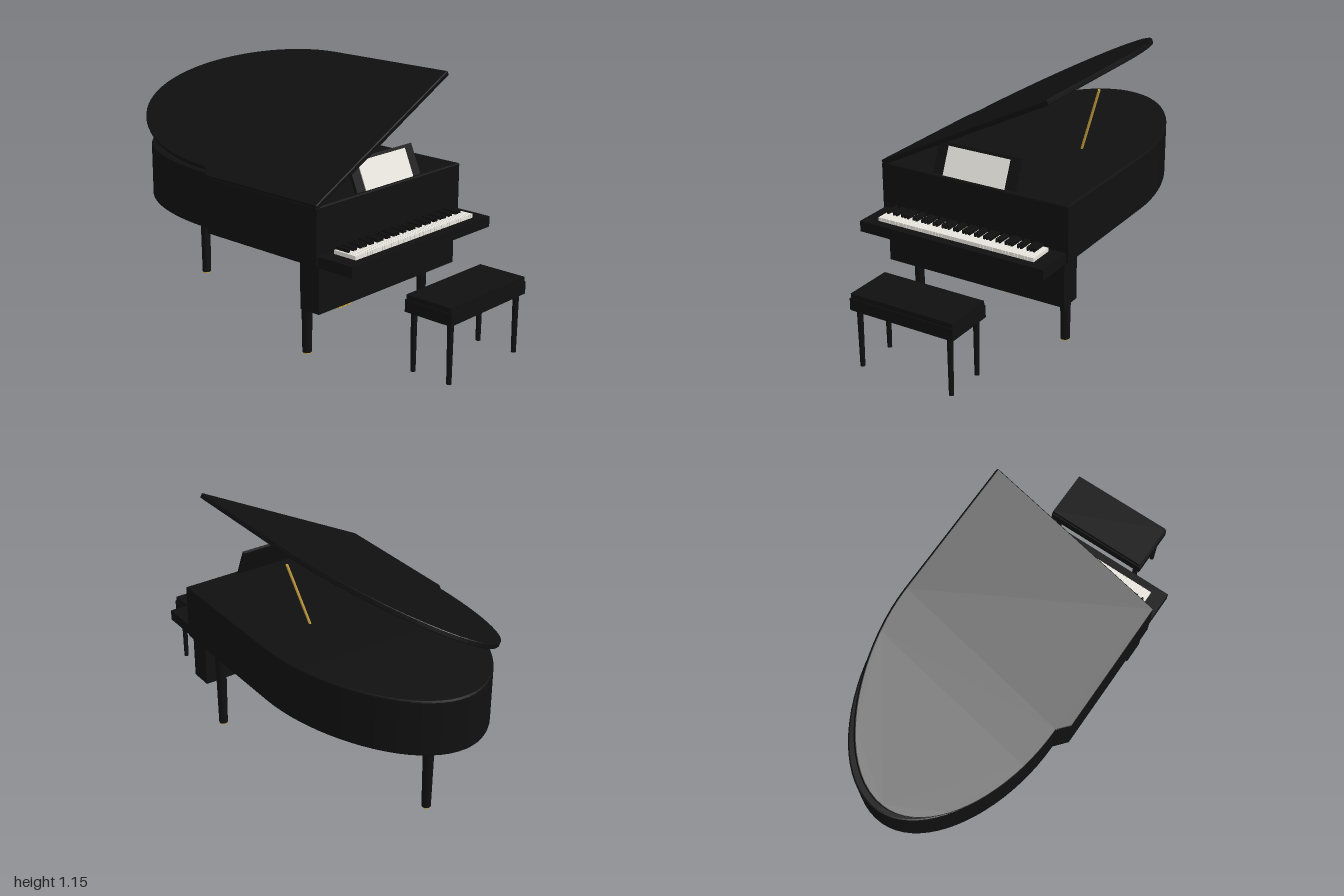
import * as THREE from 'three';

export function createModel() {
  const root = new THREE.Group();
  const material = (name, color) => {
    const m = new THREE.MeshStandardMaterial({ color });
    m.name = name;
    return m;
  };
  const black = material('black lacquer', 0x101010);
  const ivory = material('ivory', 0xf5f3eb);
  const brass = material('brass', 0xc9a23f);

  const add = (name, geometry, mat, x = 0, y = 0, z = 0, parent = root) => {
    const mesh = new THREE.Mesh(geometry, mat);
    mesh.name = name;
    mesh.position.set(x, y, z);
    parent.add(mesh);
    return mesh;
  };
  // box given by its limits on each axis
  const box = (name, mat, [x0, x1], [y0, y1], [z0, z1], parent = root) =>
    add(name, new THREE.BoxGeometry(x1 - x0, y1 - y0, z1 - z0), mat,
      (x0 + x1) / 2, (y0 + y1) / 2, (z0 + z1) / 2, parent);

  // shared plan of case and lid (shape y is -z)
  const plan = new THREE.Shape();
  plan.moveTo(-0.48, -0.46);
  plan.lineTo(0.48, -0.46);
  plan.lineTo(0.48, 0.22);
  plan.bezierCurveTo(0.48, 0.57, 0.27, 1, 0, 1);
  plan.bezierCurveTo(-0.24, 1, -0.43, 0.64, -0.43, 0.27);
  plan.lineTo(-0.48, 0.21);
  plan.closePath();
  const slab = (height, bevel) => new THREE.ExtrudeGeometry(plan, {
    depth: height - 2 * bevel, bevelEnabled: true, bevelThickness: bevel,
    bevelSize: bevel, bevelOffset: -bevel, bevelSegments: 2, curveSegments: 20,
  }).rotateX(-Math.PI / 2).translate(0, bevel, 0);

  add('case', slab(0.265, 0.007), black, 0, 0.445, 0);

  // raised lid, hinged along the left-hand edge of the plan
  const lid = add('lid', slab(0.024, 0.004).translate(0.48, 0, 0), black, -0.472, 0.697, 0);
  lid.rotation.z = 0.473;

  // lid prop
  const foot = new THREE.Vector3(0.2, 0.705, -0.15);
  const tip = new THREE.Vector3(0.3, 1.018, -0.123);
  const prop = add('lidProp', new THREE.CylinderGeometry(0.006, 0.006, foot.distanceTo(tip), 10), brass);
  prop.position.lerpVectors(foot, tip, 0.5);
  prop.quaternion.setFromUnitVectors(new THREE.Vector3(0, 1, 0), tip.clone().sub(foot).normalize());

  // music desk with sheet
  const desk = new THREE.Group();
  desk.name = 'musicDesk';
  desk.position.set(0, 0.705, 0.448);
  desk.rotation.x = -0.4;
  root.add(desk);
  box('deskBoard', black, [-0.212, 0.212], [0, 0.15], [-0.014, 0], desk);
  box('sheet', ivory, [-0.158, 0.158], [0.004, 0.136], [0, 0.004], desk);

  // keyboard
  box('keyBed', black, [-0.47, 0.47], [0.445, 0.495], [0.44, 0.648]);
  const keys = new THREE.Group();
  keys.name = 'keyboard';
  root.add(keys);
  const pitch = 0.8 / 52;
  for (let i = 0; i < 52; i++) {
    const x = -0.4 + i * pitch;
    box('whiteKey', ivory, [x + 0.0008, x + pitch - 0.0008], [0.495, 0.513], [0.485, 0.605], keys);
    // sharps follow A, C, D, F and G
    if ([0, 2, 3, 5, 6].includes(i % 7) && i < 51) {
      const c = x + pitch;
      box('blackKey', black, [c - 0.0045, c + 0.0045], [0.508, 0.529], [0.485, 0.555], keys);
    }
  }

  box('lowerPanel', black, [-0.46, 0.46], [0.23, 0.447], [0.346, 0.454]);

  // piano legs
  for (const [x, z] of [[-0.393, 0.322], [0.393, 0.322], [0, -0.758]]) {
    const leg = new THREE.Group();
    leg.name = 'leg';
    leg.position.set(x, 0, z);
    root.add(leg);
    add('upperLeg', new THREE.CylinderGeometry(0.028, 0.026, 0.165, 16), black, 0, 0.3675, 0, leg);
    add('lowerLeg', new THREE.CylinderGeometry(0.025, 0.021, 0.285, 16), black, 0, 0.1475, 0, leg);
    add('ferrule', new THREE.CylinderGeometry(0.019, 0.019, 0.006, 16), brass, 0, 0.003, 0, leg);
  }

  // pedal lyre
  box('lyre', black, [-0.058, 0.058], [0.153, 0.447], [0.115, 0.137]);
  for (const x of [-0.032, 0, 0.032]) {
    box('pedal', brass, [x - 0.01, x + 0.01], [0.067, 0.076], [0.113, 0.19]);
  }

  // bench
  const bench = new THREE.Group();
  bench.name = 'bench';
  root.add(bench);
  box('benchFrame', black, [-0.26, 0.26], [0.27, 0.325], [0.757, 1], bench);
  box('benchCushion', black, [-0.256, 0.256], [0.325, 0.347], [0.761, 0.996], bench);
  for (const x of [-0.229, 0.229]) {
    for (const z of [0.783, 0.974]) {
      add('benchLeg', new THREE.CylinderGeometry(0.014, 0.011, 0.272, 10), black, x, 0.136, z, bench);
    }
  }
  return root;
}
